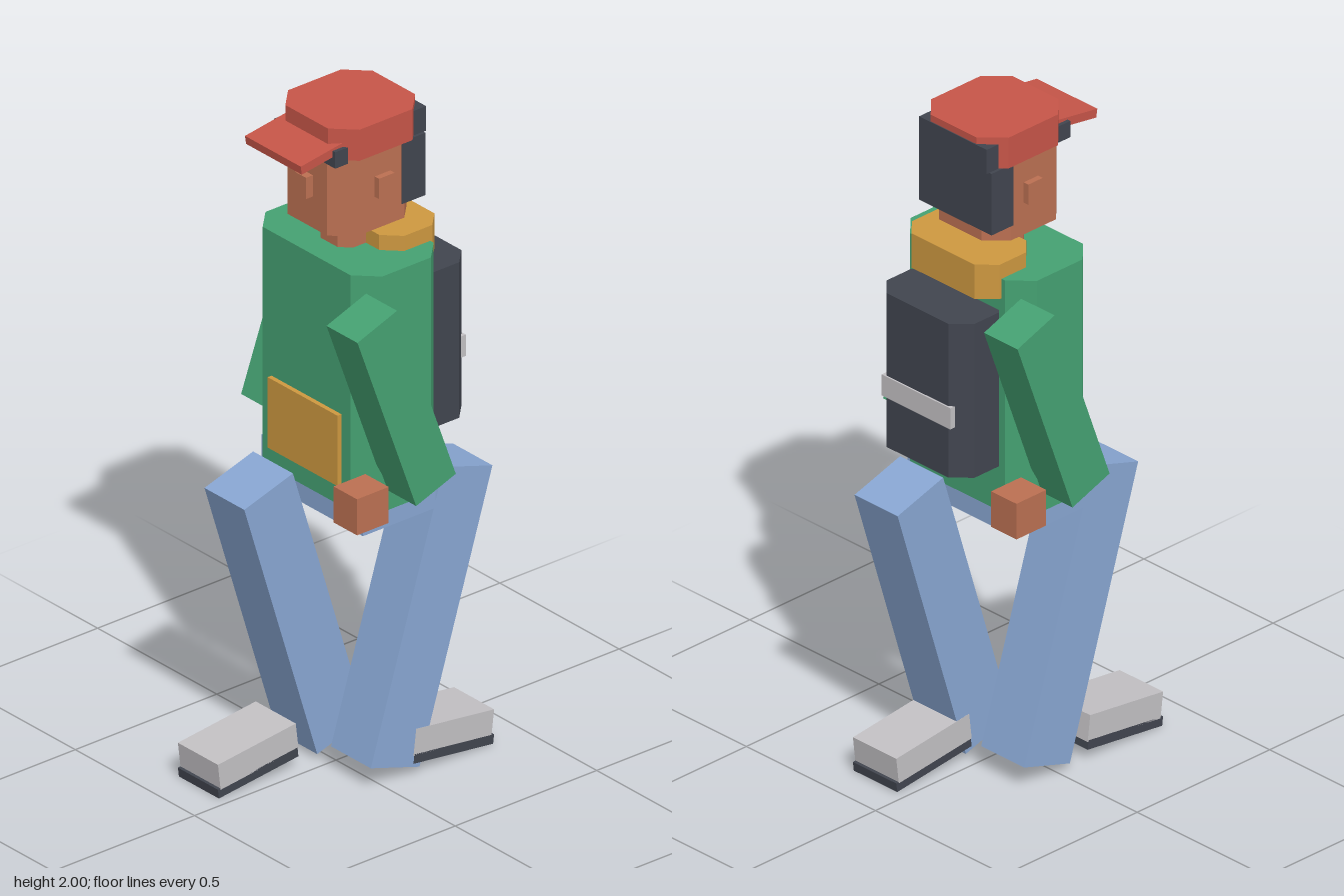
import * as THREE from 'three';

const mat = (name, color) => Object.assign(new THREE.MeshStandardMaterial({ color }), { name });

export function createModel() {
  const root = new THREE.Group();
  root.name = 'walkingFigure';

  const green = mat('jacket green', 0x45a172);
  const blue = mat('denim blue', 0x88a6d2);
  const skin = mat('skin brown', 0xbb7052);
  const red = mat('cap red', 0xc65548);
  const gold = mat('mustard', 0xcd9840);
  const dark = mat('charcoal', 0x41454f);
  const grey = mat('light grey', 0xc2c0c3);

  const add = (name, geometry, material, x, y, z, tilt = 0) => {
    const mesh = new THREE.Mesh(geometry, material);
    mesh.name = name;
    mesh.position.set(x, y, z);
    mesh.rotation.x = tilt;
    root.add(mesh);
    return mesh;
  };

  // Box given by its size and centre, tilted about x
  const box = (name, material, [w, h, d], [x, y, z], tilt) =>
    add(name, new THREE.BoxGeometry(w, h, d), material, x, y, z, tilt);

  // Upright block with chamfered corners: half width, z range, y range, chamfer
  const block = (name, material, hw, [z0, z1], [y0, y1], c) => {
    const hd = (z1 - z0) / 2;
    const shape = new THREE.Shape([
      [-hw + c, -hd], [hw - c, -hd], [hw, -hd + c], [hw, hd - c],
      [hw - c, hd], [-hw + c, hd], [-hw, hd - c], [-hw, -hd + c],
    ].map(([x, y]) => new THREE.Vector2(x, y)));
    const geometry = new THREE.ExtrudeGeometry(shape, { depth: y1 - y0, bevelEnabled: false });
    geometry.rotateX(-Math.PI / 2);
    return add(name, geometry, material, 0, y0, (z0 + z1) / 2);
  };

  // Torso, hips and pocket
  block('jacket', green, 0.245, [-0.19, 0.104], [0.87, 1.59], 0.061);
  box('hips', blue, [0.426, 0.14, 0.256], [0, 0.868, -0.044]);
  box('frontPocket', gold, [0.293, 0.215, 0.03], [0, 1.043, 0.103]);
  block('hoodCollar', gold, 0.17, [-0.245, -0.05], [1.53, 1.636], 0.048);

  // Backpack
  block('backpack', dark, 0.17, [-0.342, -0.15], [1.015, 1.49], 0.05);
  box('backpackStripe', grey, [0.266, 0.065, 0.02], [0, 1.203, -0.337]);

  // Head
  block('neck', skin, 0.066, [-0.11, 0.025], [1.58, 1.69], 0.03);
  block('head', skin, 0.138, [-0.18, 0.102], [1.67, 1.92], 0.055);
  box('nose', skin, [0.048, 0.065, 0.05], [0, 1.798, 0.101]);
  box('hair', dark, [0.28, 0.19, 0.083], [0, 1.81, -0.157]);

  // Cap
  block('cap', red, 0.15, [-0.205, 0.104], [1.905, 2], 0.061);
  box('capBill', red, [0.234, 0.026, 0.16], [0, 1.934, 0.142], 0.15);
  box('capFrontBand', dark, [0.256, 0.05, 0.045], [0, 1.92, 0.088]);
  box('capBackStrap', dark, [0.262, 0.075, 0.06], [0, 1.942, -0.178]);

  // Limbs in mid stride: left side +1, right side -1
  for (const s of [1, -1]) {
    const side = s > 0 ? 'left' : 'right';
    box(side + 'Ear', skin, [0.04, 0.062, 0.055], [s * 0.136, 1.8, -0.048]);
    box(side + 'Arm', green, [0.13, 0.605, 0.149], [s * 0.299, 1.24, -0.044 + s * 0.101], s * 0.35);
    box(side + 'Hand', skin, [0.098, 0.11, 0.112], [s * 0.298, 0.955, -0.044 + s * 0.206]);
    box(side + 'Leg', blue, [0.167, 0.872, 0.18], [s * 0.117, 0.461, -0.044 - s * 0.125], -s * 0.3);
    box(side + 'Shoe', grey, [0.168, 0.08, 0.277], [s * 0.117, 0.081, -s * 0.247], -s * 0.12);
    box(side + 'Sole', dark, [0.168, 0.028, 0.283], [s * 0.117, 0.031, -s * 0.247], -s * 0.12);
  }

  return root;
}
